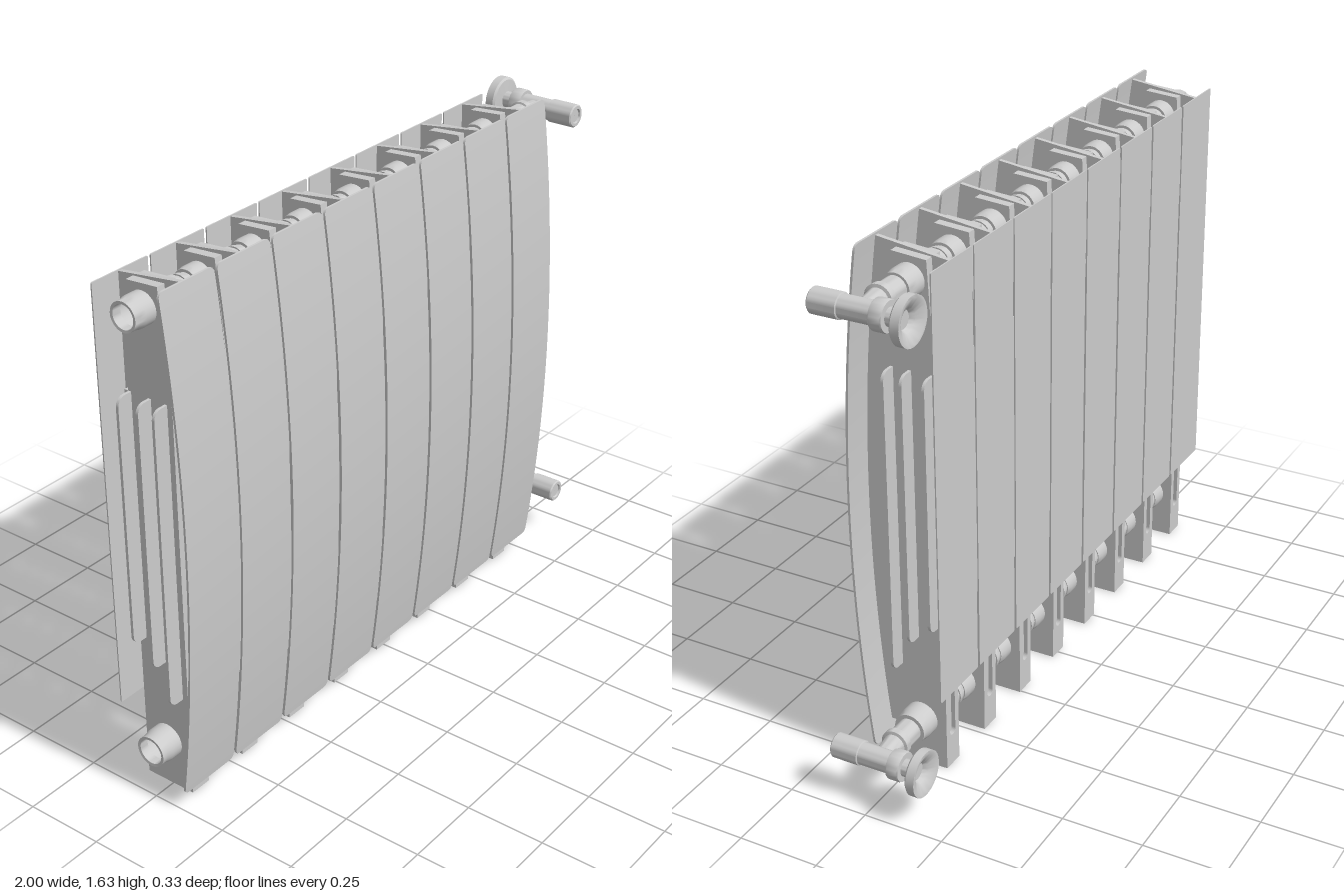
import * as THREE from 'three';
import { toCreasedNormals } from 'three/addons/utils/BufferGeometryUtils.js';

const material = new THREE.MeshStandardMaterial({ color: 0xcccccc, side: THREE.DoubleSide });
const COUNT = 8, PITCH = 0.2224, FIRST = -0.891, WIDTH = 0.211;
const TUBE_Z = -0.012, HEADERS = [0.153, 1.533];

// bowed outer face of the front panels
const bow = (y) => 0.111 + 0.054 * (1 - ((y - 0.845) / 0.79) ** 2);

function part(name, geometry, parent, x = 0, y = 0, z = 0) {
  const mesh = new THREE.Mesh(geometry, material);
  mesh.name = name;
  mesh.position.set(x, y, z);
  parent.add(mesh);
  return mesh;
}

function lathe(points, segments = 28) {
  const g = new THREE.LatheGeometry(points.map(([r, h]) => new THREE.Vector2(r, h)), segments);
  return toCreasedNormals(g, 0.6);
}

function roundedRect(w, y0, y1, r, Type = THREE.Shape) {
  const s = new Type(), h = w / 2;
  s.moveTo(-h + r, y0);
  s.lineTo(h - r, y0);
  s.absarc(h - r, y0 + r, r, -Math.PI / 2, 0);
  s.lineTo(h, y1 - r);
  s.absarc(h - r, y1 - r, r, 0, Math.PI / 2);
  s.lineTo(-h + r, y1);
  s.absarc(-h + r, y1 - r, r, Math.PI / 2, Math.PI);
  s.lineTo(-h, y0 + r);
  s.absarc(-h + r, y0 + r, r, Math.PI, Math.PI * 1.5);
  return s;
}

function plate(shape, depth) {
  const g = new THREE.ExtrudeGeometry(shape, { depth, bevelEnabled: false, curveSegments: 6 });
  return g.translate(0, 0, -depth / 2);
}

// side profile given as [z, y] points, given thickness across x
function sidePlate(points, thickness) {
  const shape = new THREE.Shape(points.map(([z, y]) => new THREE.Vector2(z, y)));
  return plate(shape, thickness).rotateY(-Math.PI / 2);
}

// bowed sheet with softly rounded corners
function frontPanelGeometry() {
  const y0 = 0.057, y1 = 1.632, r = 0.016, thick = 0.007, half = (y1 - y0) / 2;
  const g = new THREE.BoxGeometry(WIDTH, 2, thick, 1, 36, 1);
  const p = g.attributes.position;
  for (let i = 0; i < p.count; i++) {
    const t = Math.sin(p.getY(i) * Math.PI / 2);
    const y = y0 + half * (1 + t);
    const d = Math.max(0, r - half * (1 - Math.abs(t)));
    const w = WIDTH / 2 - r + Math.sqrt(Math.max(0, r * r - d * d));
    p.setXYZ(i, Math.sign(p.getX(i)) * w, y, bow(y) - thick / 2 + p.getZ(i));
  }
  g.computeVertexNormals();
  return g;
}

// thin web joining the front panel, column and back panel
function webGeometry() {
  const pts = [[-0.12, 0.285], [-0.08, 0.285], [-0.08, 0.095], [bow(0.095) - 0.006, 0.095]];
  for (let i = 1; i <= 16; i++) {
    const y = 0.095 + (1.625 - 0.095) * i / 16;
    pts.push([bow(y) - 0.006, y]);
  }
  pts.push([-0.12, 1.595]);
  return sidePlate(pts, 0.014);
}

// header tube: a boss on each section, narrower nipples and seal rings between
function headerGeometry(boss, neck) {
  const pts = [[boss * 0.75, -0.97], [boss * 0.75, -0.999], [boss * 0.92, -1]];
  for (let i = 0; i < COUNT; i++) {
    const x = FIRST + i * PITCH;
    if (i > 0) pts.push([neck, x - 0.09]);
    pts.push([boss * 0.92, x - 0.09], [boss, x - 0.07], [boss, x + 0.07], [boss * 0.92, x + 0.09]);
    if (i < COUNT - 1) {
      pts.push([neck, x + 0.09], [neck, x + 0.105], [neck + 0.004, x + 0.105],
        [neck + 0.004, x + 0.117], [neck, x + 0.117]);
    }
  }
  pts.push([boss * 0.92, 0.77], [0.02, 0.77]);
  return lathe(pts).rotateZ(-Math.PI / 2);
}

function createSection() {
  const section = new THREE.Group();
  section.name = 'radiatorSection';
  part('frontPanel', frontPanelGeometry(), section);
  part('backPanel', plate(roundedRect(WIDTH, 0.28, 1.598, 0.004), 0.004), section, 0, 0, -0.12);
  part('web', webGeometry(), section);
  // hollow-looking column: core plus a slotted rear face
  part('column', sidePlate([[-0.082, 0], [0.075, 0], [0.073, 1.25], [0.06, 1.42], [0.042, 1.605],
    [-0.066, 1.597], [-0.082, 1.3]], 0.07), section);
  const rear = new THREE.Shape([[-0.035, 0], [0.035, 0], [0.035, 1.27], [-0.035, 1.27]]
    .map(([x, y]) => new THREE.Vector2(x, y)));
  rear.holes.push(roundedRect(0.03, 0.1, 1.2, 0.0149, THREE.Path));
  part('columnRear', plate(rear, 0.014), section, 0, 0, -0.088);
  // convector fins
  for (const [z, y0] of [[0.051, 0.325], [-0.006, 0.43], [-0.076, 0.485]]) {
    part('fin', plate(roundedRect(0.172, y0, 1.27, 0.028), 0.009), section, 0, 0, z);
  }
  return section;
}

function createValve() {
  const valve = new THREE.Group();
  valve.name = 'valve';
  // wall flange, neck, nut, body and cap along z
  part('valveBody', lathe([[0.001, -0.135], [0.026, -0.135], [0.034, -0.148], [0.062, -0.163],
    [0.07, -0.163], [0.07, -0.137], [0.064, -0.131], [0.026, -0.128], [0.026, -0.095],
    [0.043, -0.095], [0.045, -0.09], [0.045, -0.06], [0.043, -0.055], [0.033, -0.055],
    [0.033, 0.045], [0.037, 0.047], [0.037, 0.131], [0.033, 0.135], [0.024, 0.135],
    [0.022, 0.129], [0.001, 0.129]]).rotateX(Math.PI / 2), valve);
  // union towards the header
  part('valveUnion', lathe([[0.037, -0.165], [0.037, -0.1], [0.043, -0.098], [0.043, -0.077],
    [0.034, -0.075], [0.03, -0.045], [0.025, 0]]).rotateZ(-Math.PI / 2), valve, 0, 0, TUBE_Z);
  return valve;
}

export function createModel() {
  const model = new THREE.Group();
  model.name = 'radiator';
  for (let i = 0; i < COUNT; i++) {
    const section = createSection();
    section.position.x = FIRST + i * PITCH;
    model.add(section);
  }
  part('lowerHeader', headerGeometry(0.053, 0.046), model, 0, HEADERS[0], TUBE_Z);
  part('upperHeader', headerGeometry(0.048, 0.036), model, 0, HEADERS[1], TUBE_Z);
  for (const y of HEADERS) {
    const valve = createValve();
    valve.position.set(0.929, y, 0);
    model.add(valve);
  }
  return model;
}
